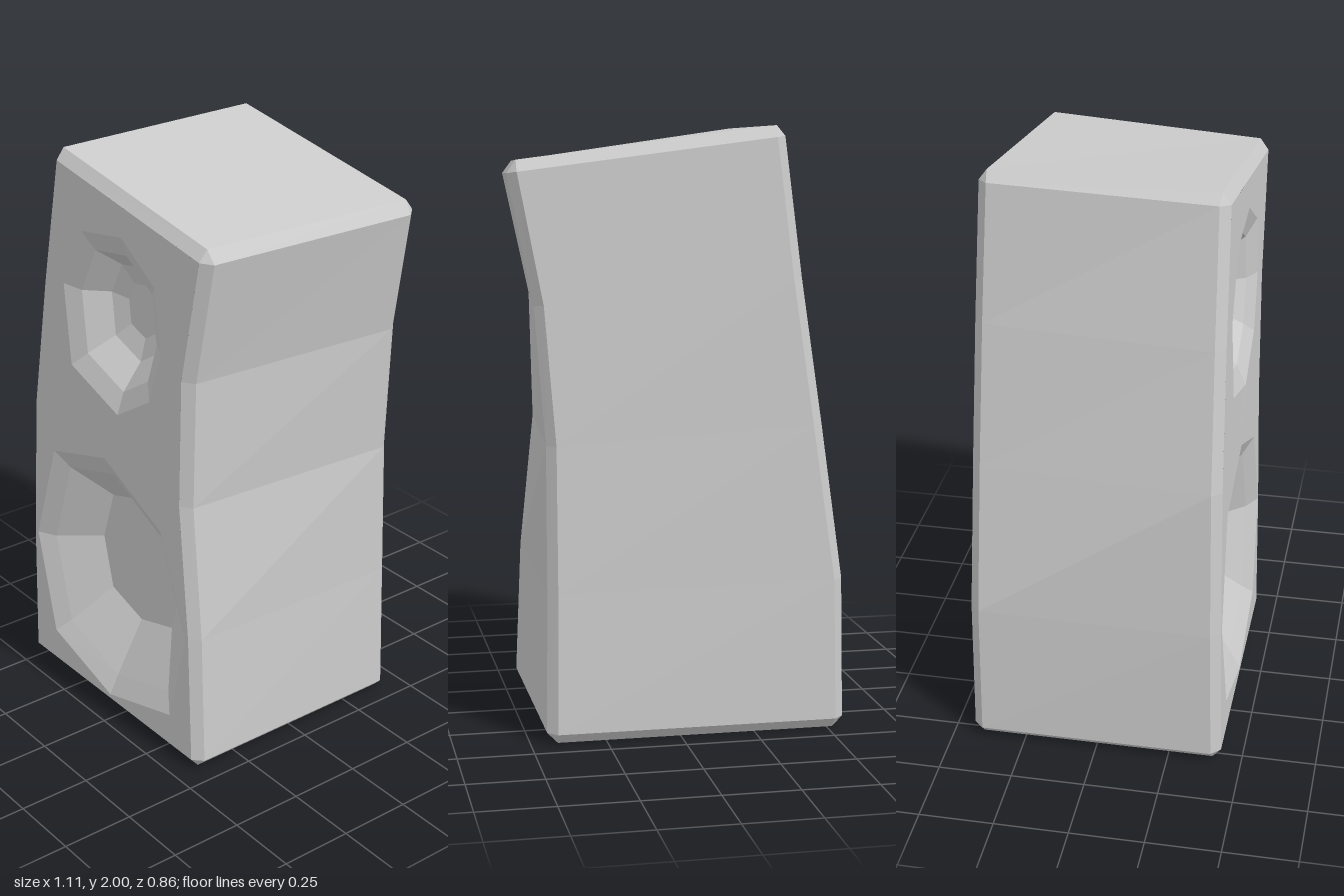
import * as THREE from 'three';

const v = (x, y, z) => new THREE.Vector3(x, y, z);
const material = new THREE.MeshStandardMaterial({ color: 0xcccccc, flatShading: true });

// The front panel leans back a little and twists towards the top
const frontZ = (x, y) => 0.43 - y * (0.016 - 0.012 * x);

// Cabinet levels, bottom to top: corners front right, back right, back left, front left
const levels = [
  [[0.445, 0.035], [0.445, 0.035, -0.43], [-0.555, 0.035, -0.43], [-0.555, 0.035]],
  [[0.425, 0.5], [0.44, 0.5, -0.42], [-0.545, 0.51, -0.43], [-0.555, 0.51]],
  [[0.375, 0.97], [0.44, 0.98, -0.405], [-0.47, 1.03, -0.425], [-0.53, 1.03]],
  [[0.385, 1.41], [0.475, 1.43, -0.39], [-0.40, 1.51, -0.418], [-0.455, 1.5]],
  [[0.475, 1.83], [0.555, 1.85, -0.375], [-0.345, 1.965, -0.405], [-0.37, 1.95]],
].map(level => level.map(([x, y, z]) => v(x, y, z ?? frontZ(x, y))));

// Drivers: rim outline (clockwise), centre, and [scale, depth, lift] of each inner ring
const drivers = [
  {
    name: 'woofer', centre: [-0.065, 0.51],
    rim: [[-0.08, 0.975], [0.24, 0.835], [0.38, 0.5], [0.29, 0.15], [-0.06, 0.05], [-0.40, 0.15], [-0.505, 0.51], [-0.39, 0.88]],
    rings: [[1, 0, 0], [0.85, 0.035, 0], [0.51, 0.14, 0.03]],
  },
  {
    name: 'tweeter', centre: [-0.03, 1.48],
    rim: [[0.03, 1.79], [0.21, 1.68], [0.245, 1.47], [0.18, 1.28], [0.0, 1.165], [-0.27, 1.25], [-0.31, 1.53], [-0.2, 1.745]],
    rings: [[1, 0, 0], [0.77, 0.03, 0], [0.53, 0.105, 0.01], [0.3, 0.13, 0.01]],
  },
];

function meshFrom(name, triangles) {
  const solid = triangles.filter(([a, b, c]) => !a.equals(b) && !b.equals(c) && !a.equals(c));
  const geometry = new THREE.BufferGeometry().setFromPoints(solid.flat());
  geometry.computeVertexNormals();
  const mesh = new THREE.Mesh(geometry, material);
  mesh.name = name;
  return mesh;
}

// Cut each corner of a level into two points
function chamfer(corners, size = 0.032) {
  return corners.flatMap((p, i) => [corners[(i + 3) % 4], corners[(i + 1) % 4]].map(
    q => p.clone().lerp(q, size / p.distanceTo(q))));
}

// Flat cap, inset from a level and moved along y
function cap(corners, rise) {
  return corners.flatMap((p, i) => {
    const q = p.clone().lerp(corners[(i + 2) % 4], 0.035);
    q.y += rise;
    return [q, q.clone()];
  });
}

function bridge(lower, upper, skip = -1) {
  const out = [];
  lower.forEach((a, i) => {
    if (i === skip) return;
    const j = (i + 1) % lower.length;
    out.push([a, lower[j], upper[j]], [a, upper[j], upper[i]]);
  });
  return out;
}

export function createModel() {
  const group = new THREE.Group();

  // Bent, bevelled shell, left open at the front
  const rings = levels.map(l => chamfer(l));
  const bottom = cap(levels[0], -0.035);
  const top = cap(levels[4], 0.038);
  const shell = [...bridge(bottom, rings[0]), ...bridge(rings[4], top)];
  for (let i = 0; i < 4; i++) shell.push(...bridge(rings[i], rings[i + 1], 7));
  shell.push([top[0], top[2], top[4]], [top[0], top[4], top[6]]);
  shell.push([bottom[0], bottom[4], bottom[2]], [bottom[0], bottom[6], bottom[4]]);
  group.add(meshFrom('cabinet', shell));

  // Front panel with an opening for each driver
  const outline = [...rings.map(r => r[0]), ...rings.map(r => r[7]).reverse()];
  const panel = new THREE.Shape(outline.map(p => new THREE.Vector2(p.x, p.y)));
  for (const d of drivers) {
    panel.holes.push(new THREE.Path(d.rim.map(([x, y]) => new THREE.Vector2(x, y))));
  }
  const geometry = new THREE.ShapeGeometry(panel);
  const pos = geometry.attributes.position;
  for (let i = 0; i < pos.count; i++) pos.setZ(i, frontZ(pos.getX(i), pos.getY(i)));
  geometry.computeVertexNormals();
  const front = new THREE.Mesh(geometry, material);
  front.name = 'frontPanel';
  group.add(front);

  // Sunken faceted cones
  for (const { name, centre: [cx, cy], rim, rings: steps } of drivers) {
    const loops = steps.map(([s, depth, lift]) => rim.map(([px, py]) => {
      const x = cx + (px - cx) * s, y = cy + (py - cy) * s + lift;
      return v(x, y, frontZ(x, y) - depth);
    }).reverse());
    const faces = [];
    for (let i = 0; i + 1 < loops.length; i++) faces.push(...bridge(loops[i], loops[i + 1]));
    const last = loops.at(-1);
    for (let i = 1; i < 7; i++) faces.push([last[0], last[i], last[i + 1]]);
    group.add(meshFrom(name, faces));
  }
  return group;
}
